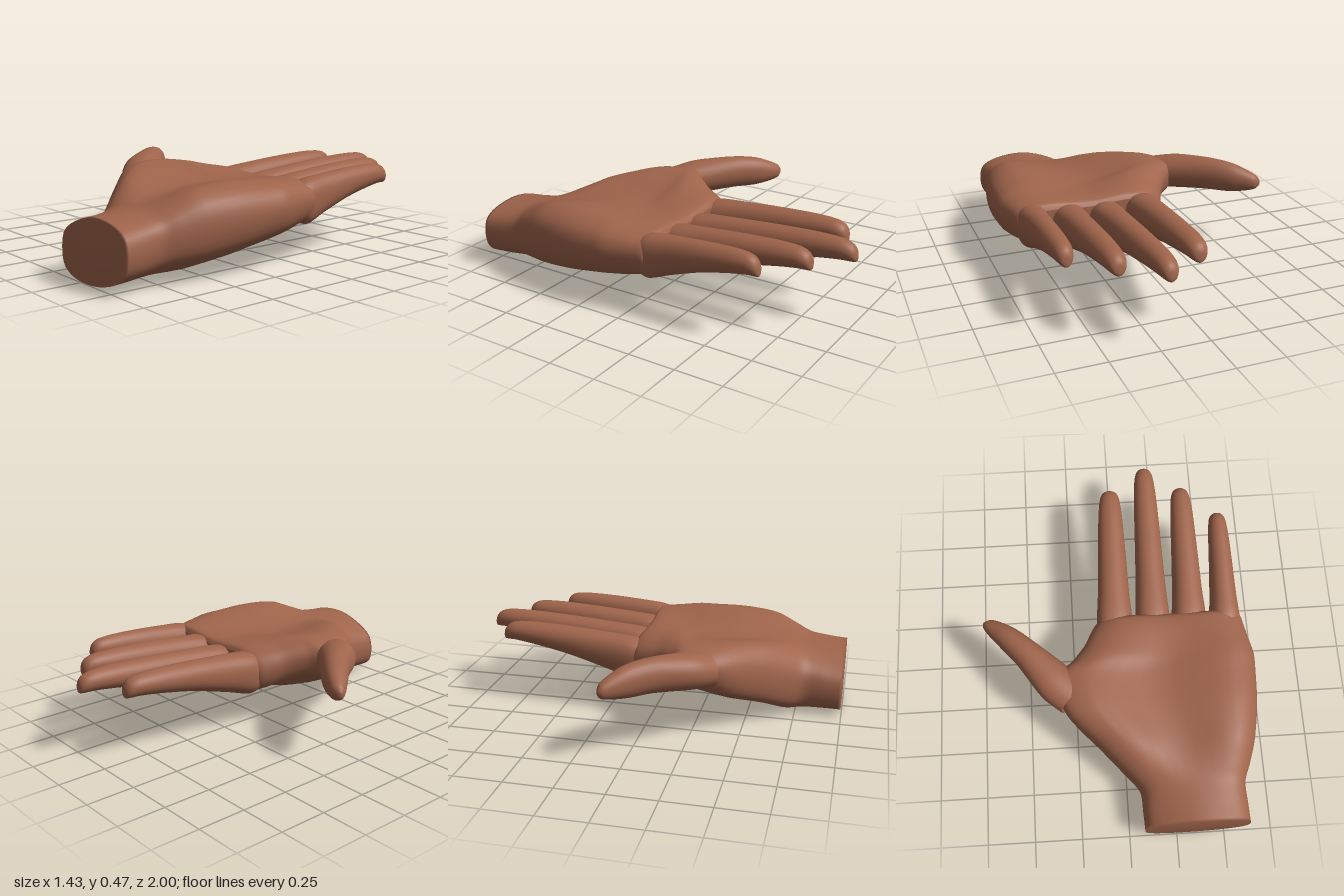
import * as THREE from 'three';

const skin = new THREE.MeshStandardMaterial({ color: 0x9f644b, side: THREE.DoubleSide });
const V = (x, y, z) => new THREE.Vector3(x, y, z);
const mix = THREE.MathUtils.lerp;

// Smooth skin through a list of rings (each with the same point count), closed at the chosen ends
function loft(name, rings, rows, capStart) {
  const n = rings[0].length, pos = [], idx = [];
  const curves = rings[0].map((_, j) => new THREE.CatmullRomCurve3(rings.map(r => r[j]), false, 'catmullrom', 0.45));
  for (let i = 0; i <= rows; i++) {
    for (let j = 0; j < n; j++) {
      const p = curves[j].getPoint(i / rows);
      pos.push(p.x, p.y, p.z);
    }
  }
  for (let i = 0; i < rows; i++) {
    for (let j = 0; j < n; j++) {
      const a = i * n + j, b = i * n + (j + 1) % n;
      idx.push(a, a + n, b, b, a + n, b + n);
    }
  }
  for (const end of capStart ? [0, rows] : [rows]) {
    const ring = rings[end ? rings.length - 1 : 0];
    const c = ring.reduce((s, p) => s.add(p), V(0, 0, 0)).divideScalar(n);
    const k = pos.length / 3;
    pos.push(c.x, c.y, c.z);
    for (let j = 0; j < n; j++) {
      const a = end * n + j, b = end * n + (j + 1) % n;
      if (end) idx.push(k, b, a); else idx.push(k, a, b);
    }
  }
  const g = new THREE.BufferGeometry();
  g.setAttribute('position', new THREE.Float32BufferAttribute(pos, 3));
  g.setIndex(idx);
  g.computeVertexNormals();
  const mesh = new THREE.Mesh(g, skin);
  mesh.name = name;
  return mesh;
}

// Palm cross-section: edges, then top and bottom heights at left, middle, right
function palmRing([z, xl, xr, yl, yr, tl, tm, tr, bl, bm, br]) {
  const x = f => mix(xl, xr, f);
  const pts = [
    V(xr, yr, z), V(x(0.965), mix(yr, tr, 0.65), z), V(x(0.84), tr, z), V(x(0.5), tm, z),
    V(x(0.17), tl, z), V(x(0.035), mix(yl, tl, 0.62), z),
    V(xl, yl, z), V(x(0.035), mix(yl, bl, 0.62), z), V(x(0.17), bl, z), V(x(0.5), bm, z),
    V(x(0.84), br, z), V(x(0.965), mix(yr, br, 0.62), z),
  ];
  return new THREE.CatmullRomCurve3(pts, true, 'centripetal').getPoints(48).slice(0, 48);
}

// Digit cross-section: oval when power is 1, boxier when it is smaller
function digitRing(x, z, halfWidth, bottom, top, power, side) {
  const bend = v => Math.sign(v) * Math.abs(v) ** power;
  return Array.from({ length: 28 }, (_, j) => {
    const a = j / 28 * Math.PI * 2;
    return V(x, (bottom + top) / 2 + bend(Math.sin(a)) * (top - bottom) / 2, z)
      .addScaledVector(side, bend(Math.cos(a)) * halfWidth);
  });
}

export function createModel() {
  const hand = new THREE.Group();
  hand.name = 'hand';

  // palm and wrist, from the cut wrist to the finger roots
  const palm = [
    [0.995, 0.08, 0.62, 0.12, 0.185, 0.265, 0.32, 0.30, 0.012, 0.003, 0.05],
    [0.90, 0.075, 0.615, 0.13, 0.19, 0.275, 0.325, 0.31, 0.015, 0.006, 0.055],
    [0.79, 0.065, 0.61, 0.14, 0.21, 0.30, 0.335, 0.33, 0.015, 0.008, 0.065],
    [0.70, -0.01, 0.64, 0.18, 0.23, 0.35, 0.35, 0.37, 0.025, 0.005, 0.07],
    [0.58, -0.125, 0.675, 0.25, 0.26, 0.41, 0.365, 0.42, 0.08, 0.003, 0.07],
    [0.40, -0.295, 0.705, 0.35, 0.285, 0.45, 0.38, 0.44, 0.155, 0.028, 0.085],
    [0.22, -0.335, 0.715, 0.38, 0.30, 0.455, 0.385, 0.435, 0.215, 0.065, 0.115],
    [0.13, -0.25, 0.715, 0.37, 0.31, 0.45, 0.39, 0.43, 0.21, 0.09, 0.135],
    [0.04, -0.185, 0.695, 0.34, 0.315, 0.43, 0.395, 0.42, 0.19, 0.115, 0.15],
    [-0.04, -0.148, 0.677, 0.31, 0.315, 0.415, 0.398, 0.412, 0.17, 0.135, 0.17],
    [-0.09, -0.12, 0.667, 0.295, 0.31, 0.40, 0.39, 0.405, 0.17, 0.15, 0.185],
    [-0.112, -0.09, 0.645, 0.29, 0.305, 0.375, 0.365, 0.375, 0.205, 0.19, 0.22],
  ];
  hand.add(loft('palm', palm.map(palmRing), 66, true));

  // fingers: root x, tip x, length, root half width, root lift
  const fingers = [
    ['indexFinger', -0.015, 0.0, 0.867, 0.099, 0.005],
    ['middleFinger', 0.193, 0.2, 1.0, 0.094, -0.008],
    ['ringFinger', 0.39, 0.395, 0.862, 0.094, 0],
    ['littleFinger', 0.58, 0.586, 0.692, 0.083, 0.018],
  ];
  // along the finger: fraction of length, width factor, bottom, top, roundness; the root tucks into the palm
  const fingerProfile = [
    [0.06, 0.9, 0.185, 0.375, 0.8], [0.14, 0.98, 0.167, 0.395, 0.8], [0.3, 0.87, 0.21, 0.41, 0.88],
    [0.55, 0.77, 0.272, 0.428, 0.95], [0.78, 0.68, 0.313, 0.438, 1], [0.91, 0.58, 0.33, 0.435, 1],
    [0.965, 0.46, 0.332, 0.42, 1], [0.99, 0.3, 0.333, 0.395, 1], [1, 0.08, 0.34, 0.36, 1],
  ];
  for (const [name, x0, x1, length, width, lift] of fingers) {
    const rings = fingerProfile.map(([t, w, bottom, top, power]) => {
      const up = lift * (1 - t);
      return digitRing(mix(x0, x1, t), -t * length, w * width, bottom + up, top + up, power, V(1, 0, 0));
    });
    hand.add(loft(name, rings, 45, false));
  }

  // thumb: x, z, half width, bottom, top; the root tucks into the palm
  const thumb = [
    [-0.245, 0.325, 0.10, 0.26, 0.435], [-0.345, 0.235, 0.104, 0.275, 0.462],
    [-0.48, 0.085, 0.077, 0.295, 0.475], [-0.58, -0.015, 0.064, 0.30, 0.462],
    [-0.65, -0.075, 0.048, 0.315, 0.43], [-0.69, -0.106, 0.032, 0.33, 0.405],
    [-0.71, -0.115, 0.01, 0.35, 0.38],
  ];
  const across = V(0.72, 0, -0.69);
  hand.add(loft('thumb', thumb.map(r => digitRing(...r, 0.95, across)), 36, false));

  return hand;
}
